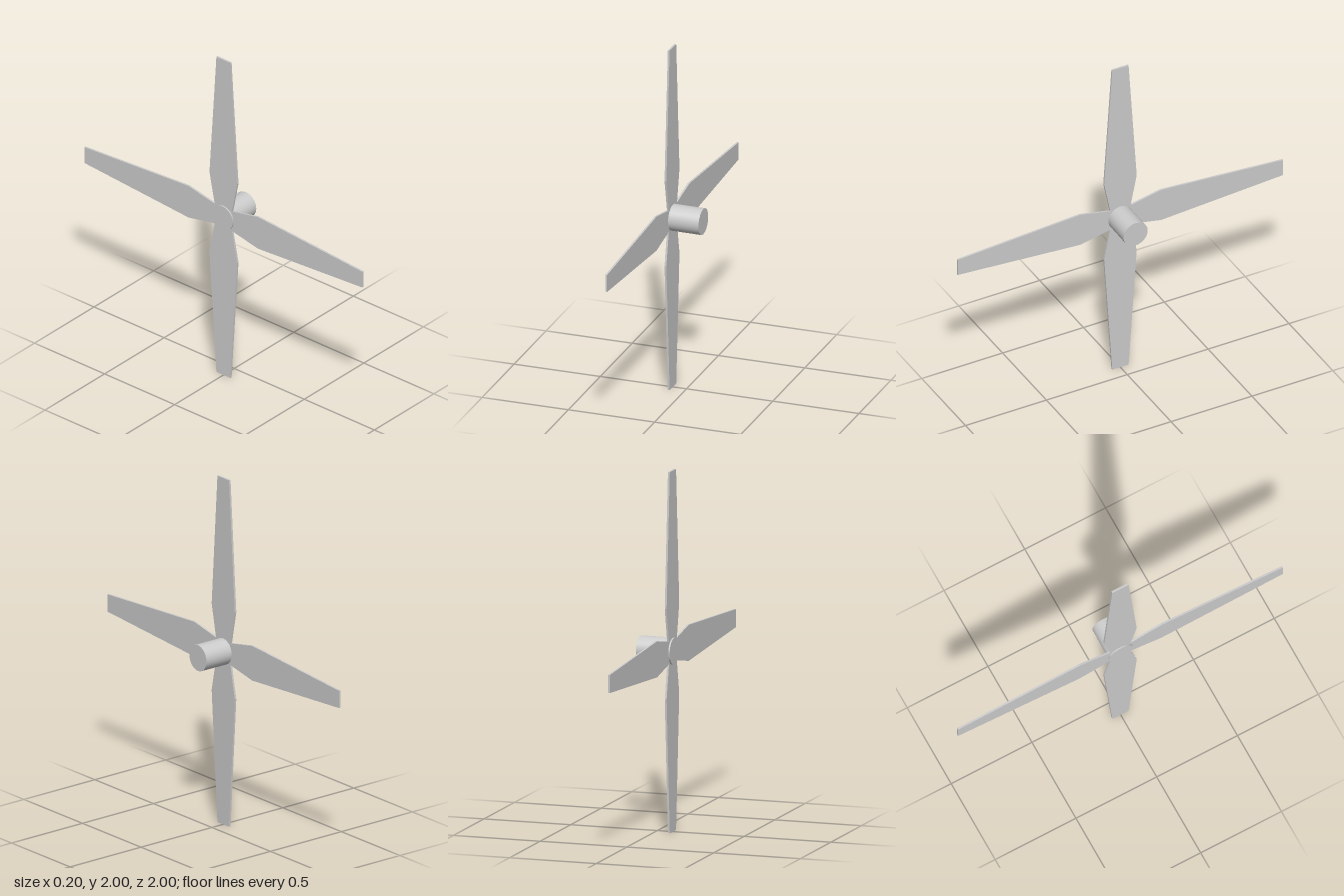
import * as THREE from 'three';

export function createModel() {
  const model = new THREE.Group();
  model.name = 'propeller';
  const material = new THREE.MeshStandardMaterial({ color: 0xcccccc });

  // Rotor assembly, yawed very slightly about the vertical axis
  const rotor = new THREE.Group();
  rotor.name = 'rotor';
  rotor.position.y = 1;
  rotor.rotation.y = -0.0105;
  model.add(rotor);

  // Hub: short cylinder lying along x
  const hubGeometry = new THREE.CylinderGeometry(0.074, 0.074, 0.196, 48);
  hubGeometry.rotateZ(-Math.PI / 2);
  const hub = new THREE.Mesh(hubGeometry, material);
  hub.name = 'hub';
  rotor.add(hub);

  // Blade: flat plate, widest a quarter of the way out, tapering to a square tip
  const thickness = 0.011;
  const outline = new THREE.Shape([
    [-0.05, 0], [0.05, 0], [0.1, 0.25], [0.05, 1], [-0.05, 1], [-0.1, 0.25],
  ].map(([x, y]) => new THREE.Vector2(x, y)));
  const bladeGeometry = new THREE.ExtrudeGeometry(outline, { depth: thickness, bevelEnabled: false });
  bladeGeometry.translate(0, 0, -thickness / 2);
  bladeGeometry.rotateY(Math.PI / 2);

  // Four blades around the hub, near its rear end
  ['topBlade', 'frontBlade', 'bottomBlade', 'backBlade'].forEach((name, i) => {
    const blade = new THREE.Mesh(bladeGeometry, material);
    blade.name = name;
    blade.position.x = -0.0845;
    blade.rotation.x = i * Math.PI / 2;
    rotor.add(blade);
  });

  return model;
}
